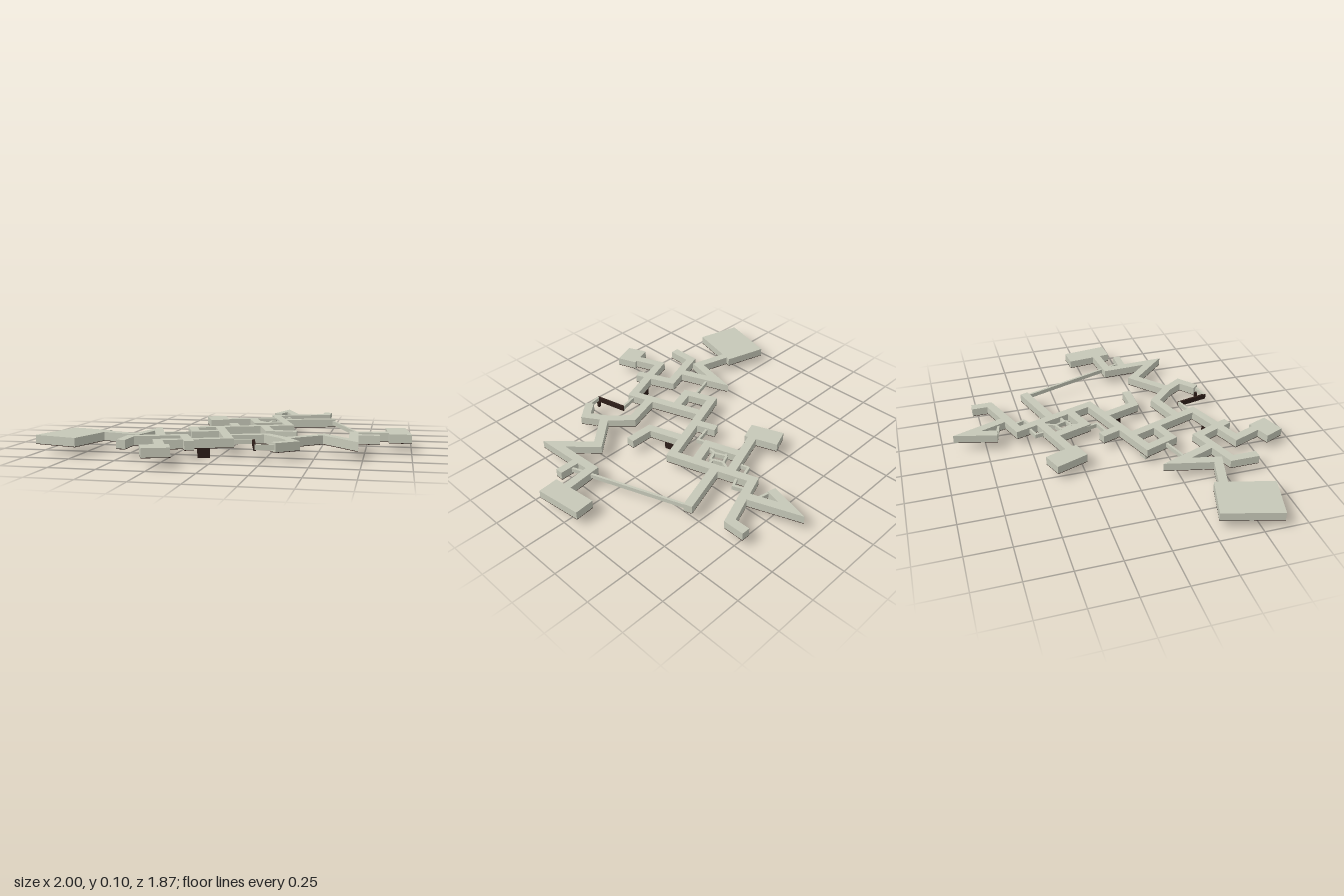
import * as THREE from 'three';

const stone = new THREE.MeshStandardMaterial({ color: 0xc6c8b8, side: THREE.DoubleSide, flatShading: true });
const dark = new THREE.MeshStandardMaterial({ color: 0x2c1d18, side: THREE.DoubleSide, flatShading: true });

// Upright prism over a plan outline of [x, z] points
function prism(name, outline, y0, y1, material) {
  const shape = new THREE.Shape(outline.map(([x, z]) => new THREE.Vector2(x, -z)));
  const geometry = new THREE.ExtrudeGeometry(shape, { depth: y1 - y0, bevelEnabled: false });
  geometry.rotateX(-Math.PI / 2).translate(0, y0, 0);
  const mesh = new THREE.Mesh(geometry, material);
  mesh.name = name;
  return mesh;
}

// Outline of a path with the given width and mitred corners
function ribbon(path, width) {
  const pts = path.map(([x, z]) => new THREE.Vector2(x, z));
  const left = [], right = [];
  pts.forEach((p, i) => {
    const a = i > 0 ? p.clone().sub(pts[i - 1]).normalize() : null;
    const b = i < pts.length - 1 ? pts[i + 1].clone().sub(p).normalize() : null;
    const na = a ? new THREE.Vector2(-a.y, a.x) : new THREE.Vector2(-b.y, b.x);
    const nb = b ? new THREE.Vector2(-b.y, b.x) : na;
    const n = na.clone().add(nb).normalize();
    n.multiplyScalar(width / 2 / Math.max(0.2, n.dot(na)));
    left.push([p.x + n.x, p.y + n.y]);
    right.unshift([p.x - n.x, p.y - n.y]);
  });
  return [...left, ...right];
}

// Stone block standing on a thin dark floor
function block(name, outline) {
  const group = new THREE.Group();
  group.name = name;
  group.add(prism(name + 'Floor', outline, 0.05, 0.053, dark));
  group.add(prism(name + 'Walls', outline, 0.053, 0.1, stone));
  return group;
}

export function createModel() {
  const model = new THREE.Group();

  // Corridors, as centre lines
  const corridors = {
    northSpike: [[0.132, -0.68], [0.176, -0.85], [0.265, -0.61]],
    northSpine: [[0.457, -0.787], [0.457, -0.678], [0.138, -0.555], [0.29, -0.085], [-0.25, 0.12], [-0.19, 0.28], [-0.06, 0.235]],
    northWestHall: [[-0.14, -0.31], [0.18, -0.425]],
    squareRoomWall: [[0.02, -0.365], [0.085, -0.165], [0.25, -0.225]],
    northEastHall: [[0.2, -0.34], [0.53, -0.448]],
    innerStub: [[-0.055, -0.1], [-0.012, 0.02]],
    middleHook: [[0.15, -0.02], [0.215, 0.18], [0.37, 0.18]],
    southSpine: [[-0.1, 0.07], [0.05, 0.508], [-0.3, 0.642], [-0.235, 0.81]],
    eastZigzag: [[0.02, 0.39], [0.22, 0.325], [0.34, 0.445], [0.53, 0.278], [0.7, 0.46], [0.685, 0.142], [0.88, 0.12]],
    southEastHook: [[0.33, 0.435], [0.4, 0.545], [0.305, 0.625]],
    westZigzag: [[-0.68, 0.4], [-0.475, 0.455], [-0.424, 0.235], [-0.33, 0.48]],
    southWestHall: [[-0.485, 0.69], [-0.485, 0.535], [-0.215, 0.44], [-0.125, 0.66]],
  };
  for (const [name, path] of Object.entries(corridors)) model.add(block(name, ribbon(path, 0.05)));
  model.add(block('eastStub', ribbon([[0.69, 0.25], [0.83, 0.25]], 0.045)));

  // Rooms, as plan corners
  const rooms = {
    westRoom: [[-0.91, 0.283], [-0.66, 0.353], [-0.745, 0.679], [-1, 0.61]],
    northWestRoom: [[-0.293, -0.415], [-0.183, -0.458], [-0.115, -0.27], [-0.225, -0.23]],
    southRoom: [[-0.34, 0.822], [-0.2, 0.77], [-0.157, 0.887], [-0.293, 0.934]],
    eastRoom: [[0.853, -0.066], [0.968, -0.076], [1, 0.195], [0.88, 0.205]],
  };
  for (const [name, outline] of Object.entries(rooms)) model.add(block(name, outline));

  // Narrow passages between corridors
  const passages = {
    spikePassage: [[0.13, -0.683], [0.25, -0.655]],
    westLoopPassage: [[0.08, -0.42], [0.072, -0.465], [0.165, -0.495]],
    eastLoopPassage: [[0.18, -0.475], [0.24, -0.505], [0.215, -0.57]],
    squareNorthLink: [[0.135, -0.33], [0.165, -0.4]],
    squareSouthLink: [[0.11, -0.24], [0.095, -0.19]],
    squareWestLink: [[0.085, -0.305], [0.05, -0.29]],
    squareEastLink: [[0.16, -0.275], [0.215, -0.29]],
    innerPassage: [[-0.03, -0.055], [0.085, -0.09], [0.065, -0.16]],
    longEastPassage: [[0.525, -0.42], [0.757, 0.24]],
    westPassage: [[-0.385, 0.293], [-0.22, 0.238]],
    southPassage: [[0.06, 0.495], [0.175, 0.465]],
    southPassageEnd: [[0.215, 0.65], [0.315, 0.63]],
  };
  for (const [name, path] of Object.entries(passages)) model.add(prism(name, ribbon(path, 0.014), 0.065, 0.09, stone));
  const ring = [[0.08, -0.31], [0.135, -0.332], [0.165, -0.262], [0.11, -0.24]];
  ring.forEach((p, i) => model.add(prism('squareRing', ribbon([p, ring[(i + 1) % 4]], 0.014), 0.065, 0.09, stone)));
  model.add(prism('darkPassage', ribbon([[0.173, 0.46], [0.217, 0.655]], 0.014), 0.06, 0.09, dark));
  model.add(prism('smallPost', ribbon([[0.242, 0.605], [0.258, 0.605]], 0.016), 0.06, 0.09, dark));

  // Shafts beneath the corridors
  model.add(prism('southShaft', ribbon([[-0.105, 0.568], [-0.045, 0.547]], 0.04), 0, 0.052, dark));
  model.add(prism('middleShaft', ribbon([[0.156, -0.008], [0.182, 0.075]], 0.036), 0, 0.052, dark));
  model.add(prism('westShaft', ribbon([[-0.24, 0.122], [-0.193, 0.105]], 0.03), 0.01, 0.052, stone));
  return model;
}
